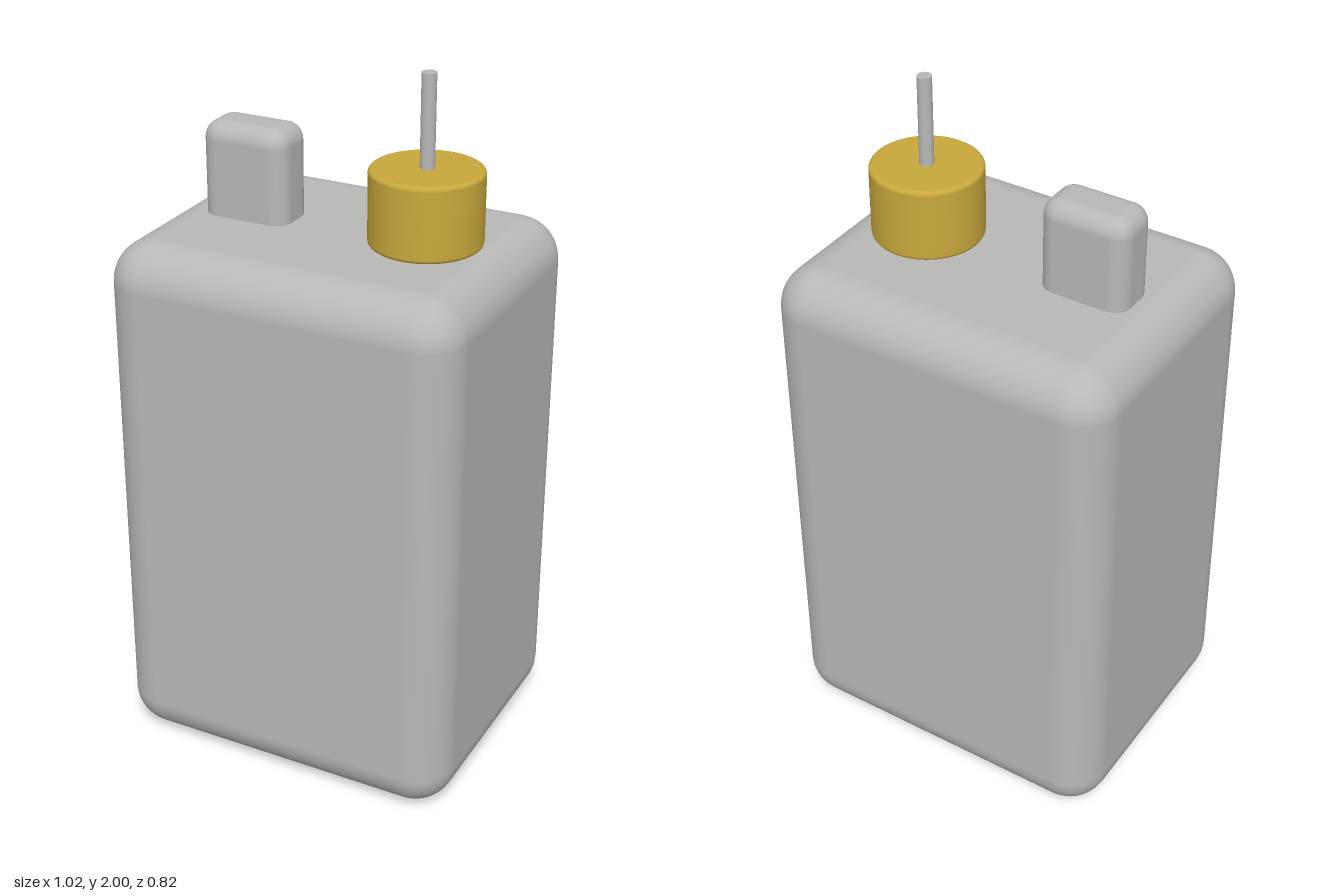
import * as THREE from 'three';
import { RoundedBoxGeometry } from 'three/addons/geometries/RoundedBoxGeometry.js';

export function createModel() {
  const model = new THREE.Group();
  const grey = new THREE.MeshStandardMaterial({ color: 0xb8b8b6 });
  grey.name = 'satin grey';
  const gold = new THREE.MeshStandardMaterial({ color: 0xc8a83c });
  gold.name = 'brass gold';

  const add = (name, geometry, material, x, y) => {
    const mesh = new THREE.Mesh(geometry, material);
    mesh.name = name;
    mesh.position.set(x, y, 0);
    model.add(mesh);
  };

  // Turned part from y = 0 to h, with small rounded rims; doubled points keep the flats crisp
  const turned = (r, h, bevel, sides) => {
    const points = [[0, 0], [r - bevel, 0], [r - bevel, 0]];
    for (let i = 1; i < 4; i++) {
      const a = (i / 4) * Math.PI / 2;
      points.push([r - bevel + bevel * Math.sin(a), bevel - bevel * Math.cos(a)]);
    }
    points.push([r, bevel]);
    const lower = points.slice(1);
    const upper = lower.map(([x, y]) => [x, h - y]).reverse();
    const profile = [...points, ...upper, [0, h]].map(([x, y]) => new THREE.Vector2(x, y));
    return new THREE.LatheGeometry(profile, sides);
  };

  // Main case
  add('body', new RoundedBoxGeometry(1.024, 1.536, 0.82, 5, 0.12), grey, 0, 0.768);

  // Rounded tab, its lower edge sunk into the case
  add('tab', new RoundedBoxGeometry(0.256, 0.31, 0.154, 4, 0.05), grey, -0.256, 1.643);

  // Round cap and the thin pin rising through it
  add('cap', turned(0.154, 0.208, 0.012, 48), gold, 0.256, 1.538);
  add('pin', new THREE.CylinderGeometry(0.02, 0.02, 0.3, 24), grey, 0.256, 1.85);

  return model;
}
